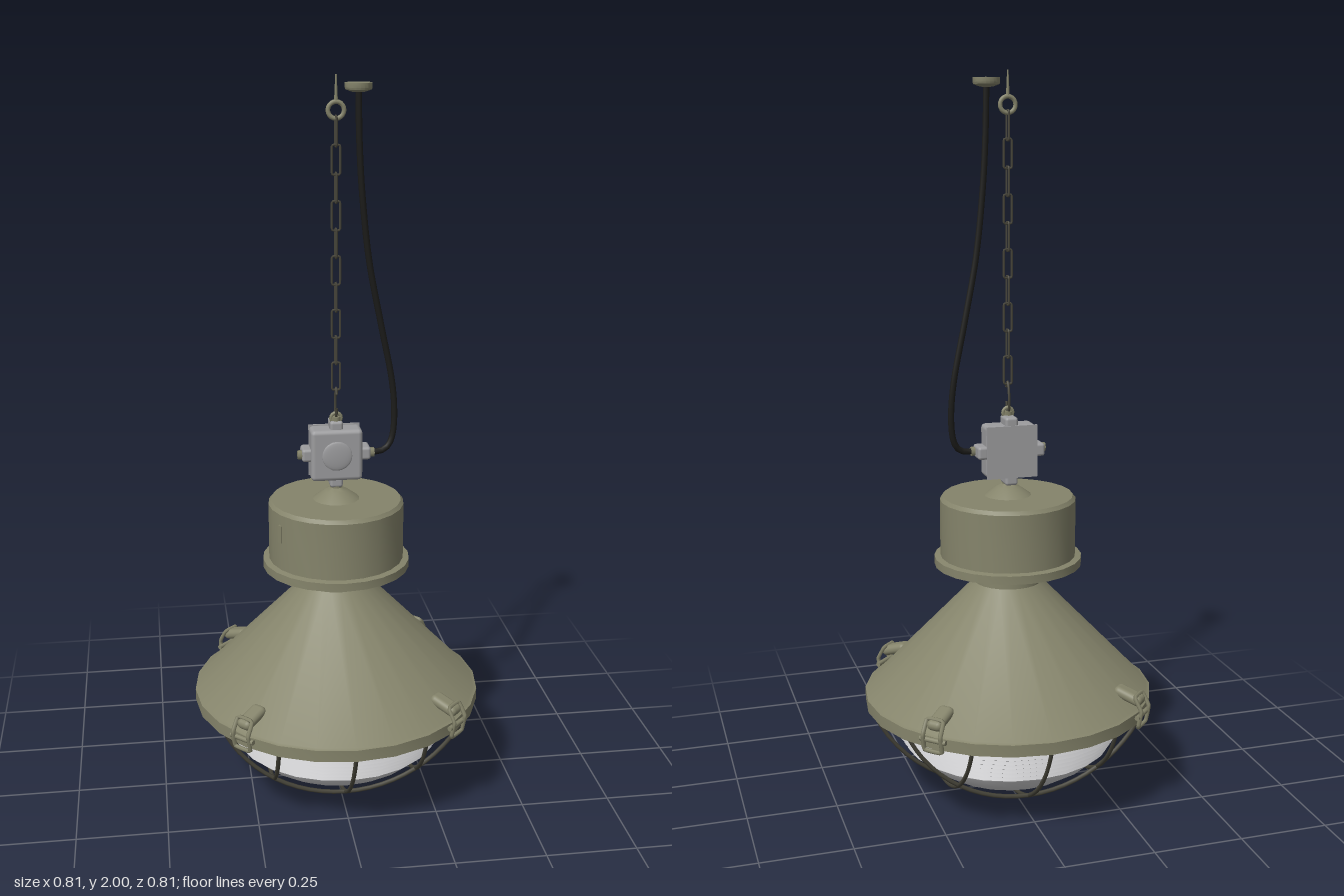
import * as THREE from 'three';
import { toCreasedNormals } from 'three/addons/utils/BufferGeometryUtils.js';
import { RoundedBoxGeometry } from 'three/addons/geometries/RoundedBoxGeometry.js';

const mat = (name, color) => {
  const m = new THREE.MeshStandardMaterial({ color, side: THREE.DoubleSide });
  m.name = name;
  return m;
};

export function createModel() {
  const model = new THREE.Group();
  model.name = 'industrialPendantLamp';
  const olive = mat('olivePaint', 0x85846b);
  const grey = mat('boxGrey', 0x9c9c9e);
  const glass = mat('frostedGlass', 0xcfcfd1);
  const darkMetal = mat('darkMetal', 0x47453a);
  const black = mat('cableBlack', 0x1c1c1a);

  const add = (name, geo, material, x = 0, y = 0, z = 0, parent = model) => {
    const mesh = new THREE.Mesh(geo, material);
    mesh.name = name;
    mesh.position.set(x, y, z);
    parent.add(mesh);
    return mesh;
  };
  const lathe = (pts, segments = 24, crease = 0.45) => toCreasedNormals(
    new THREE.LatheGeometry(pts.map(p => new THREE.Vector2(p[0], p[1])), segments), crease);
  const cyl = (r, h, n = 16) => new THREE.CylinderGeometry(r, r, h, n);
  const tube = (pts, r, n, closed = false, tension = 0.5, sides = 6) => new THREE.TubeGeometry(
    new THREE.CatmullRomCurve3(pts.map(p => new THREE.Vector3(...p)), closed, 'catmullrom', tension),
    n, r, sides, closed);

  // Conical shade with its rim and neck
  add('shade', lathe([
    [0.36, 0.285], [0.365, 0.27], [0.405, 0.27], [0.405, 0.303],
    [0.395, 0.307], [0.095, 0.62], [0.095, 0.71],
  ]), olive);

  // Gear housing with a flange stepped underneath
  add('housing', lathe([
    [0.09, 0.705], [0.125, 0.705], [0.125, 0.692], [0.155, 0.692], [0.155, 0.682],
    [0.185, 0.682], [0.185, 0.67], [0.205, 0.67], [0.205, 0.693], [0.188, 0.696],
    [0.188, 0.855], [0.18, 0.865], [0, 0.865],
  ]), olive);
  add('topMount', lathe([
    [0.065, 0.865], [0.032, 0.889], [0.022, 0.893], [0.016, 0.897], [0.016, 0.925],
  ], 16), olive);
  const plate = add('housingSlot', new THREE.BoxGeometry(0.014, 0.05, 0.008), olive, -0.164, 0.8, 0.09);
  plate.rotation.y = Math.atan2(-0.164, 0.09);

  // Glass bowl: smooth dome below, V-shaped ribs above
  const bowl = [[0, 0.026], [0.07, 0.031], [0.14, 0.047], [0.2, 0.075], [0.25, 0.108], [0.28, 0.138]];
  const ribs = 8;
  for (let i = 0; i < ribs; i++) {
    const t = i / ribs, r = 0.282 + 0.08 * t, y = 0.142 + 0.132 * t;
    bowl.push([r, y], [r + 0.012, y + 0.006], [r + 0.008, y + 0.0155]);
  }
  bowl.push([0.364, 0.278]);
  add('glassBowl', lathe(bowl), glass);

  // Wire guard: three arcs each way, lying on a sphere
  const guard = new THREE.Group();
  guard.name = 'wireGuard';
  model.add(guard);
  const R = 0.4225, edge = 0.39;
  for (const turn of [0, 1]) {
    for (const off of [-0.2, 0, 0.2]) {
      const half = Math.sqrt(edge * edge - off * off), pts = [];
      for (let i = 0; i <= 12; i++) {
        const u = -half * Math.cos(i / 12 * Math.PI);
        const y = 0.0065 + R - Math.sqrt(R * R - u * u - off * off);
        pts.push(turn ? [off, y, u] : [u, y, off]);
      }
      add('guardWire', tube(pts, 0.006, 24), darkMetal, 0, 0, 0, guard);
    }
  }
  const guardRing = add('guardRing', new THREE.TorusGeometry(0.386, 0.006, 6, 24), darkMetal, 0, 0.272, 0, guard);
  guardRing.rotation.x = Math.PI / 2;

  // Four rim clips, each with a rounded lug and a wire bail
  for (let i = 0; i < 4; i++) {
    const clip = new THREE.Group();
    clip.name = 'rimClip';
    clip.rotation.y = Math.PI / 4 + i * Math.PI / 2;
    model.add(clip);
    const lug = add('clipLug', new RoundedBoxGeometry(0.046, 0.03, 0.085, 3, 0.0145), olive, 0, 0.346, 0.375, clip);
    lug.rotation.x = 0.3;
    add('clipBail', tube([
      [-0.026, 0.27, 0.414], [0.026, 0.27, 0.414], [0.026, 0.315, 0.422],
      [0.024, 0.352, 0.402], [-0.024, 0.352, 0.402], [-0.026, 0.315, 0.422],
    ], 0.006, 36, true, 0.15), olive, 0, 0, 0, clip);
    add('clipBar', cyl(0.007, 0.078, 8), olive, 0, 0.3, 0.415, clip).rotation.z = Math.PI / 2;
  }

  // Junction box with slightly domed front and a port on each of its four sides
  const box = new THREE.Group();
  box.name = 'junctionBox';
  box.position.y = 0.994;
  model.add(box);
  add('boxBody', new RoundedBoxGeometry(0.142, 0.145, 0.066, 2, 0.012), grey, 0, 0, -0.006, box);
  add('boxBackPlate', new THREE.BoxGeometry(0.142, 0.145, 0.006), grey, 0, 0, -0.041, box);
  const dome = add('boxDome', new THREE.SphereGeometry(0.042, 20, 6, 0, Math.PI * 2, 0, Math.PI / 2), grey, 0, 0, 0.0265, box);
  dome.rotation.x = Math.PI / 2;
  dome.scale.y = 0.15;
  for (let i = 0; i < 4; i++) {
    const port = new THREE.Group();
    port.name = 'boxPort';
    port.rotation.z = i * Math.PI / 2;
    box.add(port);
    add('portSeat', new RoundedBoxGeometry(0.036, 0.03, 0.058, 2, 0.008), grey, 0, 0.08, -0.012, port);
    add('portNut', cyl(0.013, 0.024, 6), olive, 0, 0.094, 0, port);
  }
  add('lowerEye', new THREE.TorusGeometry(0.014, 0.005, 8, 16), olive, 0, 1.096, 0);

  // Open hook joining the eye to the chain
  add('chainHook', tube([
    [0, 1.125, 0.012], [0, 1.105, 0.008], [0, 1.097, -0.002], [0, 1.11, -0.012],
    [0, 1.145, -0.012], [0, 1.175, -0.004], [0, 1.18, 0.006], [0, 1.165, 0.013],
  ], 0.0036, 28), darkMetal);

  // Chain of alternating links
  const w = 0.011, h = 0.038;
  const link = tube([
    [w, -h + 0.004, 0], [w, h - 0.004, 0], [w - 0.004, h, 0], [-w + 0.004, h, 0],
    [-w, h - 0.004, 0], [-w, -h + 0.004, 0], [-w + 0.004, -h, 0], [w - 0.004, -h, 0],
  ], 0.0032, 40, true, 0.15);
  for (let i = 0; i < 10; i++) {
    add('chainLink', link, darkMetal, 0, 1.213 + i * 0.0718, 0).rotation.y = (i % 2) * Math.PI / 2;
  }

  // Ceiling eye and screw
  add('ceilingEye', new THREE.TorusGeometry(0.021, 0.006, 8, 20), olive, 0, 1.912, 0);
  add('ceilingScrew', new THREE.CylinderGeometry(0.002, 0.005, 0.064, 8), olive, 0, 1.968, 0);

  // Power cable and its ceiling cap
  add('ceilingCap', lathe([
    [0, 1.955], [0.018, 1.957], [0.034, 1.963], [0.036, 1.968], [0.036, 1.98], [0, 1.98],
  ], 20), olive, 0.058);
  add('powerCable', tube([
    [0.058, 1.965, 0], [0.061, 1.83, 0], [0.07, 1.69, -0.002], [0.09, 1.52, -0.007], [0.124, 1.35, -0.014],
    [0.155, 1.2, -0.018], [0.164, 1.1, -0.016], [0.157, 1.03, -0.011], [0.135, 0.999, -0.005], [0.095, 0.993, 0],
  ], 0.0085, 60, false, 0.5, 8), black);

  return model;
}
